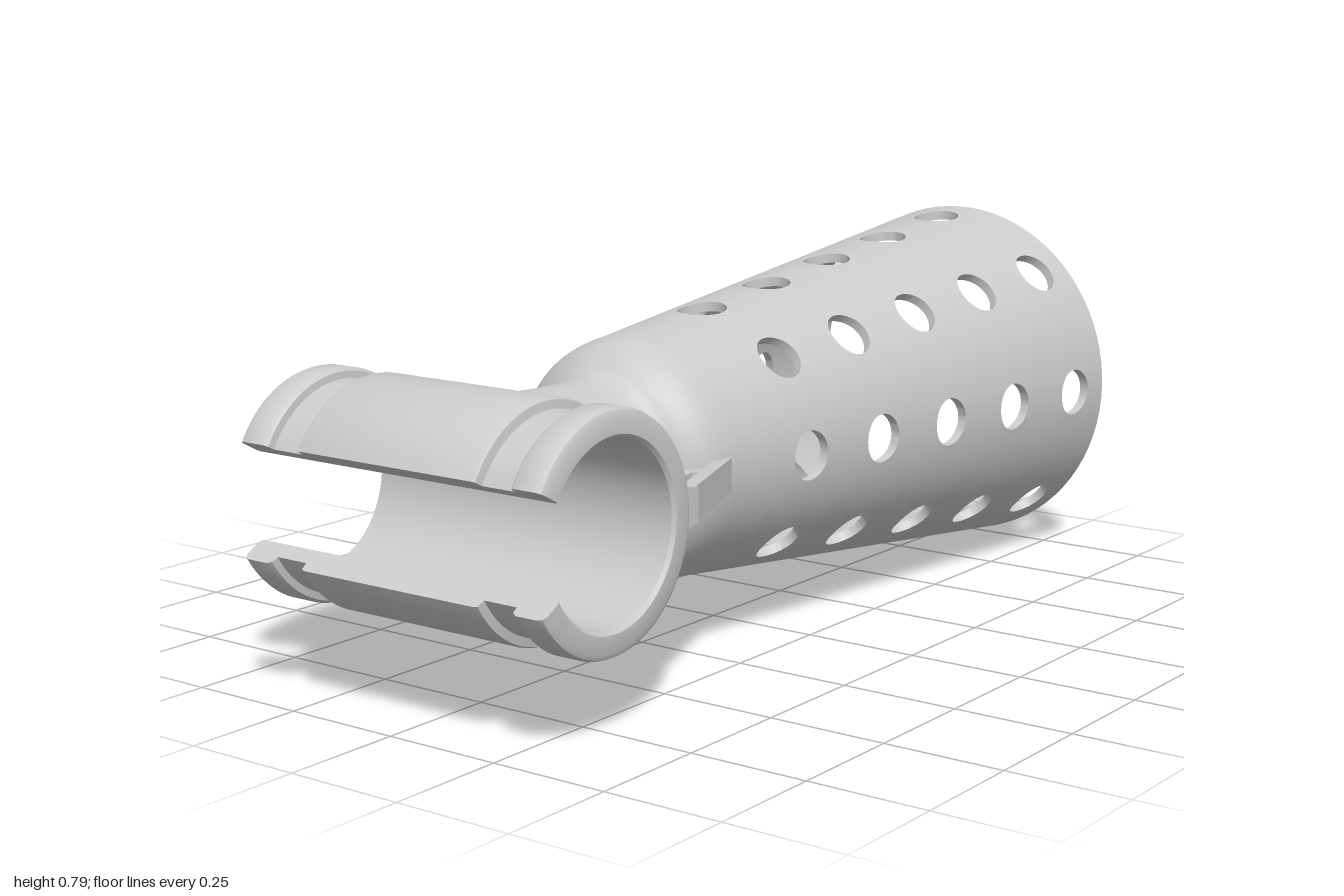
import * as THREE from 'three';
import { mergeGeometries, toCreasedNormals } from 'three/addons/utils/BufferGeometryUtils.js';

const AXIS_Y = 0.393;      // height of the sleeve and clip axes
const WALL = 0.02;         // sleeve wall thickness
const HOLE_R = 0.052;
const CLIP_Z = 0.8;
const lerp = THREE.MathUtils.lerp;
const sleeveRadius = z => 0.25 + (0.3 - z) * 0.11;

// Surface from a grid of points: fn(row, column) -> [x, y, z]
function grid(rows, cols, fn) {
  const pos = [], index = [];
  for (let i = 0; i <= rows; i++)
    for (let j = 0; j <= cols; j++) {
      pos.push(...fn(i, j));
      if (i < rows && j < cols) {
        const a = i * (cols + 1) + j, b = a + cols + 1;
        index.push(a, b, a + 1, b, b + 1, a + 1);
      }
    }
  const g = new THREE.BufferGeometry();
  g.setAttribute('position', new THREE.Float32BufferAttribute(pos, 3));
  g.setIndex(index);
  return g;
}

// Elliptical sections [rx, ry, z] skinned along z
function skin(sections, fixZ = z => z) {
  const cols = 80;
  return grid(sections.length - 1, cols, (i, j) => {
    const [rx, ry, z] = sections[i], t = (j / cols) * Math.PI * 2 + Math.PI / 8;
    const y = ry * Math.cos(t);
    return [rx * Math.sin(t), y, fixZ(z, y)];
  });
}

// One sleeve cell: outer face, round hole wall and inner face
function holeCell(theta, z0, zc, z1) {
  const side = 10, steps = 4, half = Math.PI / 8;
  const corners = [[1, -1], [1, 1], [-1, 1], [-1, -1], [1, -1]];
  return grid(steps * 2 + 1, side * 4, (i, j) => {
    const outer = i <= steps;
    const s = (outer ? i : steps * 2 + 1 - i) / steps;
    const c = Math.min(3, Math.floor(j / side)), f = j / side - c;
    const p = lerp(corners[c][0], corners[c + 1][0], f);
    const q = lerp(corners[c][1], corners[c + 1][1], f);
    const a = Math.atan2(q, p), drop = outer ? 0 : WALL;
    const holeZ = zc + HOLE_R * Math.sin(a);
    const holeU = Math.asin(HOLE_R * Math.cos(a) / (sleeveRadius(holeZ) - drop));
    const z = lerp(lerp(z0, z1, (q + 1) / 2), holeZ, s);
    const u = theta + lerp(p * half, holeU, s), r = sleeveRadius(z) - drop;
    return [r * Math.sin(u), r * Math.cos(u), z];
  });
}

// Perforated tapered sleeve with open rear rim and closed inner end
function sleeveGeometry() {
  const edges = [-1, -0.773, -0.54, -0.307, -0.075, 0.16];
  const centres = [-0.89, -0.657, -0.425, -0.192, 0.04];
  const parts = [];
  for (let k = 0; k < 8; k++)
    centres.forEach((zc, i) => parts.push(holeCell(k * Math.PI / 4, edges[i], zc, edges[i + 1])));
  const ring = (r, z) => [r, r, z];
  const rim = sleeveRadius(-1), end = sleeveRadius(0.16) - WALL;
  parts.push(skin([ring(rim - WALL, -1), ring(rim, -1)]));
  parts.push(skin([ring(0.001, 0.36), ring(0.12, 0.358), ring(0.19, 0.345), ring(0.23, 0.3), ring(end, 0.16)]));
  return toCreasedNormals(mergeGeometries(parts), 0.6);
}

// Shoulder and waisted neck, ending inside the clip wall
function neckGeometry() {
  const keys = [
    [0.2654, 0.2654, 0.16], [0.2577, 0.2577, 0.23], [0.25, 0.25, 0.3], [0.24, 0.24, 0.335],
    [0.215, 0.217, 0.37], [0.18, 0.195, 0.397], [0.158, 0.187, 0.43], [0.15, 0.185, 0.49],
    [0.162, 0.185, 0.54], [0.195, 0.185, 0.58], [0.2, 0.185, 0.65], [0.2, 0.185, 0.73],
  ].map(k => new THREE.Vector3(...k));
  const sections = new THREE.CatmullRomCurve3(keys).getPoints(55).map(p => p.toArray());
  const intoClip = (z, y) => Math.min(z, CLIP_Z - Math.sqrt(Math.max(0, 0.2 ** 2 - y * y)));
  return toCreasedNormals(skin(sections, intoClip), 0.8);
}

// Snap clip: grooved C-shaped tube around the x axis, open to the front
function clipGeometry() {
  const half = [
    [0.23, 0.208], [0.227, 0.217], [0.21, 0.22], [0.21, 0.295], [0.224, 0.297], [0.23, 0.307],
    [0.23, 0.355], [0.226, 0.365], [0.216, 0.37], [0.182, 0.37], [0.175, 0.363],
  ];
  const profile = [...half.map(([r, h]) => [r, -h]).reverse(), ...half]
    .map(([r, h]) => new THREE.Vector2(r, h));
  const start = THREE.MathUtils.degToRad(29.5), sweep = Math.PI * 2 - start * 2;
  const parts = [new THREE.LatheGeometry([...profile, profile[0].clone()], 80, start, sweep)];
  for (const phi of [start, start + sweep])
    parts.push(new THREE.ShapeGeometry(new THREE.Shape(profile)).rotateY(phi - Math.PI / 2));
  return toCreasedNormals(mergeGeometries(parts).rotateZ(-Math.PI / 2), 0.6);
}

// Flat bar between two points in the xz plane
function bar(x0, z0, x1, z1, width) {
  const dx = x1 - x0, dz = z1 - z0;
  return new THREE.BoxGeometry(width, 0.07, Math.hypot(dx, dz))
    .rotateY(Math.atan2(dx, dz)).translate((x0 + x1) / 2, 0, (z0 + z1) / 2);
}

// Bar end that flares in height where it meets the clip
function foot(x, z) {
  const s = new THREE.Shape();
  s.moveTo(0, -0.035);
  s.quadraticCurveTo(0.045, -0.037, 0.06, -0.065);
  s.lineTo(0.06, 0.065);
  s.quadraticCurveTo(0.045, 0.037, 0, 0.035);
  return new THREE.ExtrudeGeometry(s, { depth: 0.034, bevelEnabled: false, curveSegments: 6 })
    .translate(0, 0, -0.017).rotateY(-Math.PI / 2).translate(x, 0, z);
}

export function createModel() {
  const model = new THREE.Group();
  const grey = new THREE.MeshStandardMaterial({ color: 0xcccccc });
  const greyDouble = new THREE.MeshStandardMaterial({ color: 0xcccccc, side: THREE.DoubleSide });
  const add = (name, geometry, material = grey, parent = model) => {
    const mesh = new THREE.Mesh(geometry, material);
    mesh.name = name;
    parent.add(mesh);
    return mesh;
  };

  add('perforatedSleeve', sleeveGeometry()).position.y = AXIS_Y;
  add('neck', neckGeometry()).position.y = AXIS_Y;
  add('snapClip', clipGeometry(), greyDouble).position.set(0, AXIS_Y, CLIP_Z);

  // Branching braces from the shoulder to the clip, one per side
  const bars = [
    [0.238, 0.285, 0.333, 0.535, 0.028, 0.525],
    [0.275, 0.39, 0.21, 0.535, 0.024, 0.525],
    [0.256, 0.43, 0.275, 0.535, 0.022, 0.54],
  ];
  for (const s of [1, -1]) {
    const brace = new THREE.Group();
    brace.name = s > 0 ? 'leftBrace' : 'rightBrace';
    brace.position.y = AXIS_Y;
    for (const [x0, z0, x1, z1, width, footZ] of bars) {
      add('braceBar', bar(s * x0, z0, s * x1, z1, width), grey, brace);
      add('braceFoot', foot(s * x1, footZ), grey, brace);
    }
    model.add(brace);
  }
  return model;
}
